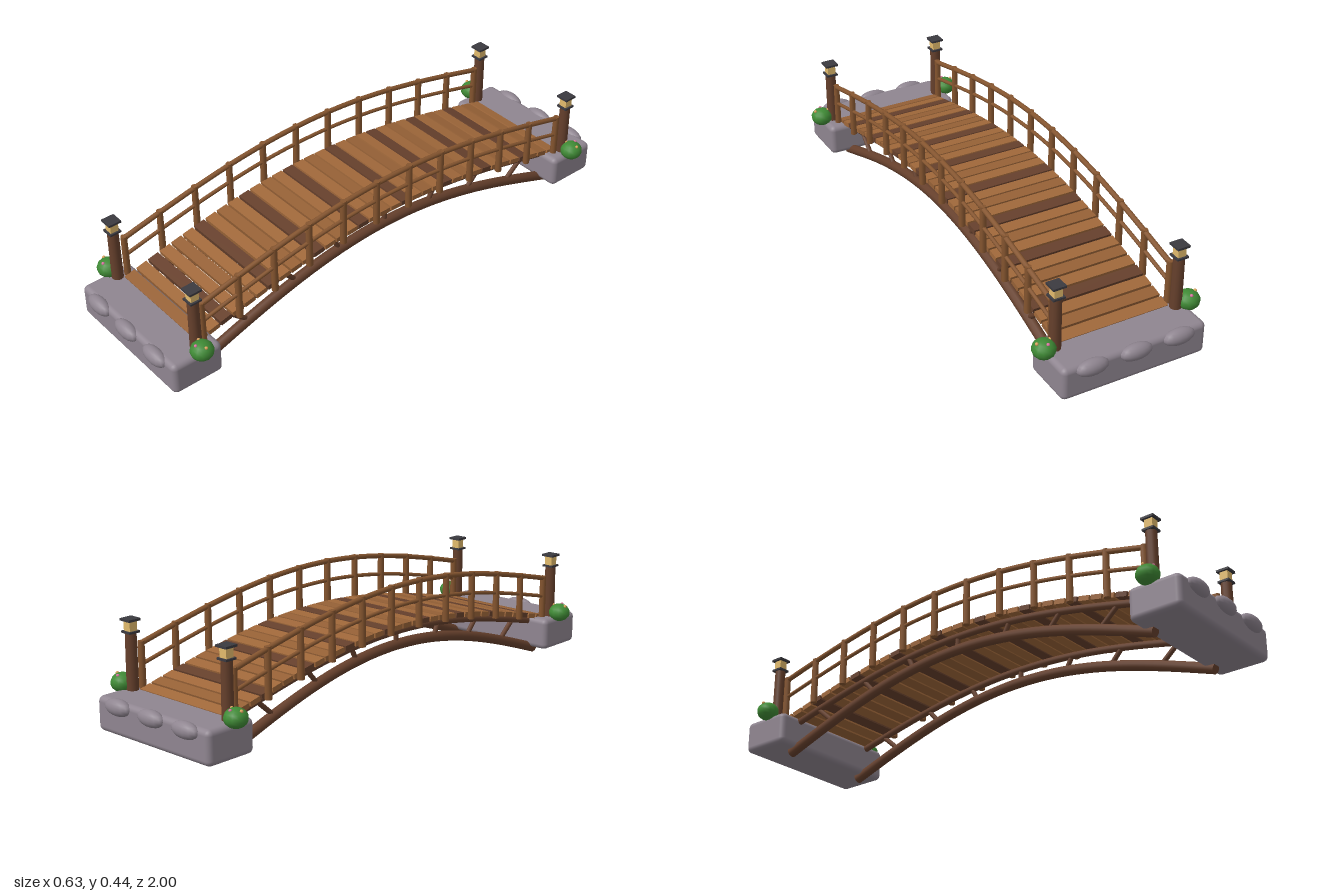
import * as THREE from 'three';
import { RoundedBoxGeometry } from 'three/addons/geometries/RoundedBoxGeometry.js';

const mat = (name, color) => {
  const m = new THREE.MeshStandardMaterial({ color });
  m.name = name;
  return m;
};

const HALF = 0.82; // half span of the curved parts
const arc = (z, end, rise) => end + rise * Math.cos((Math.PI / 2) * (z / HALF));

export function createModel() {
  const M = {
    stone: mat('stone', 0x8f8590),
    darkWood: mat('dark wood', 0x66402c),
    plank: mat('plank wood', 0xa0683a),
    plankAlt: mat('plank wood shade', 0x966136),
    rail: mat('rail wood', 0x85552f),
    iron: mat('iron', 0x3b3a40),
    glass: mat('lantern glass', 0xe2bb6c),
    leaf: mat('leaf', 0x3f8a35),
    pink: mat('pink petals', 0xd873a0),
    tan: mat('amber petals', 0xd8a45c),
  };
  const model = new THREE.Group();
  model.name = 'footbridge';

  const add = (name, geo, material, x = 0, y = 0, z = 0, parent = model) => {
    const mesh = new THREE.Mesh(geo, material);
    mesh.name = name;
    mesh.position.set(x, y, z);
    parent.add(mesh);
    return mesh;
  };

  // Round bar between two points
  const bar = (name, a, b, r, material) => {
    const dir = b.clone().sub(a);
    const m = add(name, new THREE.CylinderGeometry(r, r, dir.length(), 8), material);
    m.position.copy(a).add(b).multiplyScalar(0.5);
    m.quaternion.setFromUnitVectors(new THREE.Vector3(0, 1, 0), dir.normalize());
  };

  // Arched round beam running along z, closed at both ends
  const archBeam = (name, x, end, rise, r, material) => {
    const pts = [];
    for (let i = 0; i <= 16; i++) {
      const z = -HALF + (2 * HALF * i) / 16;
      pts.push(new THREE.Vector3(x, arc(z, end, rise), z));
    }
    const curve = new THREE.CatmullRomCurve3(pts);
    add(name, new THREE.TubeGeometry(curve, 48, r, 10), material);
    for (const t of [0, 1]) {
      const cap = add(name + 'End', new THREE.CircleGeometry(r, 10), material);
      cap.position.copy(curve.getPoint(t));
      const out = curve.getTangent(t).multiplyScalar(t ? 1 : -1);
      cap.quaternion.setFromUnitVectors(new THREE.Vector3(0, 0, 1), out);
    }
  };

  // Deck planks following the arch, every fourth one dark
  for (let i = 0; i < 34; i++) {
    const z = (i - 16.5) * 0.0495;
    const material = i % 4 === 3 ? M.darkWood : i % 2 ? M.plankAlt : M.plank;
    const plank = add('plank', new THREE.BoxGeometry(0.424, 0.018, 0.043), material, 0, arc(z, 0.148, 0.127), z);
    const slope = (arc(z + 0.01, 0.148, 0.127) - arc(z - 0.01, 0.148, 0.127)) / 0.02;
    plank.rotation.x = -Math.atan(slope);
  }

  for (const s of [1, -1]) {
    // Lower arch, deck stringer and the braces between them
    archBeam('lowerArch', s * 0.18, 0.018, 0.184, 0.019, M.darkWood);
    archBeam('stringer', s * 0.18, 0.126, 0.126, 0.013, M.darkWood);
    for (const z of [-0.645, -0.425, -0.22, 0, 0.22, 0.425, 0.645]) {
      const lo = z * 0.94, hi = z * 1.06;
      bar('brace',
        new THREE.Vector3(s * 0.18, arc(lo, 0.018, 0.184), lo),
        new THREE.Vector3(s * 0.18, arc(hi, 0.126, 0.126), hi), 0.009, M.darkWood);
    }

    // Railing
    archBeam('handrail', s * 0.222, 0.304, 0.126, 0.0095, M.rail);
    archBeam('midRail', s * 0.222, 0.232, 0.126, 0.007, M.rail);
    for (let i = 0; i < 12; i++) {
      const z = (i - 5.5) * 0.149;
      const top = arc(z, 0.312, 0.127);
      const h = 0.178;
      add('railPost', new THREE.CylinderGeometry(0.0115, 0.0125, h, 8), M.rail, s * 0.222, top - h / 2, z);
    }
  }

  for (const e of [1, -1]) {
    // Stone abutment with boulders on its outer face
    add('abutment', new RoundedBoxGeometry(0.542, 0.121, 0.196, 3, 0.02), M.stone, 0, 0.0895, e * 0.877);
    for (const x of [-0.163, 0, 0.163]) {
      add('boulder', new THREE.SphereGeometry(1, 14, 10), M.stone, x, 0.131, e * 0.973)
        .scale.set(0.06, 0.029, 0.027);
    }

    for (const s of [1, -1]) {
      // End post with lantern
      const post = new THREE.Group();
      post.name = 'lanternPost';
      post.position.set(s * 0.23, 0, e * 0.855);
      model.add(post);
      add('post', new THREE.CylinderGeometry(0.0195, 0.021, 0.215, 12), M.darkWood, 0, 0.2375, 0, post);
      add('lanternBase', new THREE.BoxGeometry(0.044, 0.007, 0.044), M.iron, 0, 0.3495, 0, post);
      add('lanternGlass', new THREE.BoxGeometry(0.031, 0.035, 0.031), M.glass, 0, 0.37, 0, post);
      add('lanternCap', new THREE.BoxGeometry(0.048, 0.008, 0.048), M.iron, 0, 0.391, 0, post);

      // Flowering bush
      const bush = new THREE.Group();
      bush.name = 'bush';
      bush.position.set(s * 0.274, 0.168, e * 0.862);
      model.add(bush);
      add('leaves', new THREE.SphereGeometry(1, 12, 9), M.leaf, 0, 0, 0, bush).scale.set(0.041, 0.034, 0.041);
      const petal = new THREE.SphereGeometry(0.006, 8, 6);
      add('flower', petal, M.pink, -s * 0.003, 0.028, e * 0.021, bush);
      add('flower', petal, M.tan, s * 0.026, 0.027, 0, bush);
      add('flower', petal, M.tan, -s * 0.025, 0.027, -e * 0.005, bush);
    }
  }
  return model;
}
